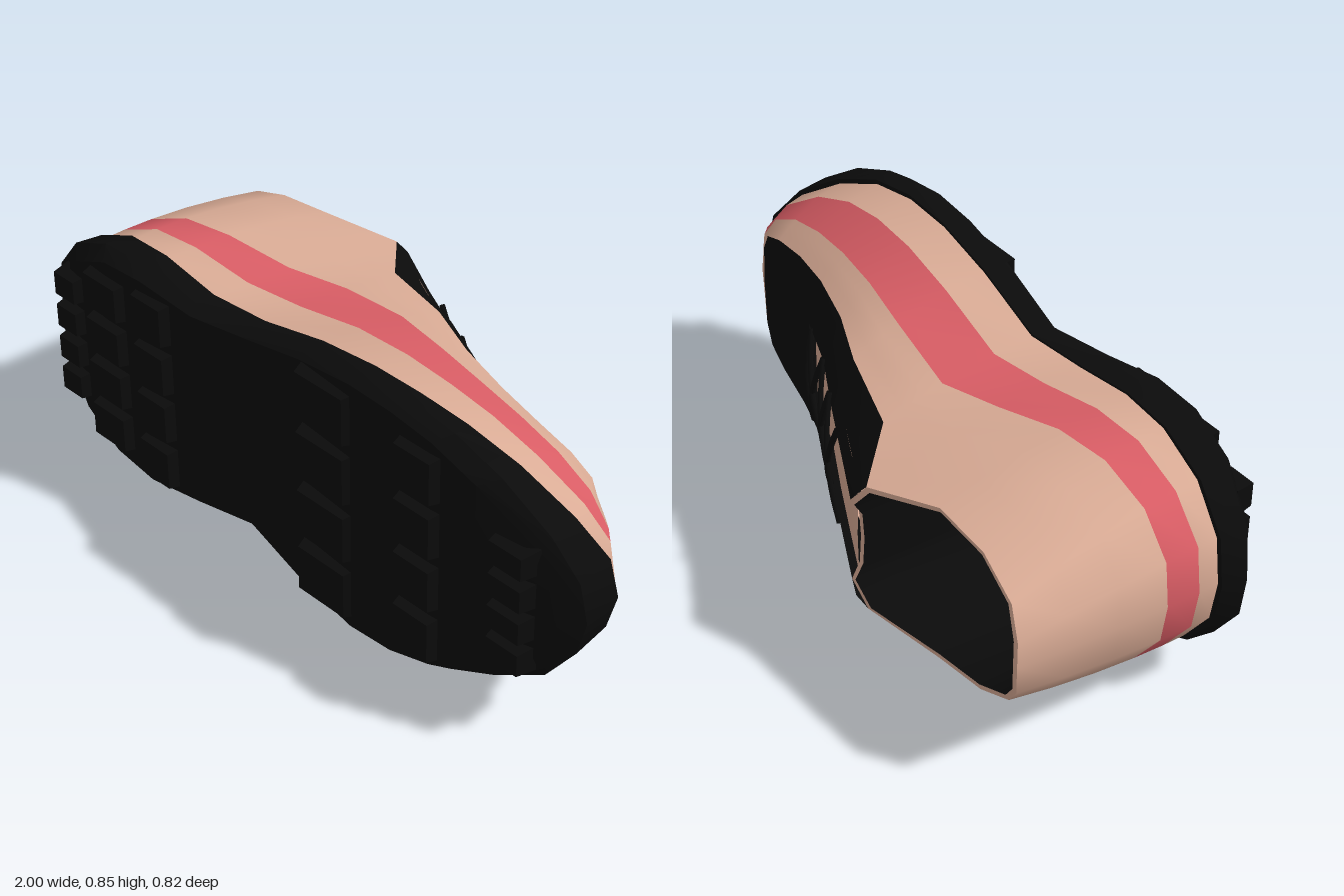
import * as THREE from 'three';
import { toCreasedNormals } from 'three/addons/utils/BufferGeometryUtils.js';

const MID = 0.425; // middle of the shoe's width; the shoe lies on its side, sole towards +z

// Sole stations, heel to toe: x, upper-side y, lower-side y, sole bottom z, sole top z
const SOLE = [
  [-1, 0.43, 0.43, 0.345, 0.23], [-0.98, 0.57, 0.3, 0.35, 0.23], [-0.88, 0.69, 0.16, 0.365, 0.24],
  [-0.73, 0.76, 0.08, 0.375, 0.248], [-0.57, 0.77, 0.055, 0.375, 0.255], [-0.37, 0.74, 0.075, 0.36, 0.26],
  [-0.18, 0.74, 0.08, 0.325, 0.245], [0.07, 0.81, 0.025, 0.35, 0.265], [0.28, 0.845, 0, 0.365, 0.28],
  [0.45, 0.85, 0.025, 0.375, 0.285], [0.6, 0.83, 0.07, 0.375, 0.275], [0.75, 0.77, 0.14, 0.365, 0.245],
  [0.9, 0.67, 0.23, 0.35, 0.205], [0.98, 0.56, 0.34, 0.33, 0.16], [1, 0.44, 0.44, 0.32, 0.145],
];
// Top edge of the upper (collar, then panel edge): x, upper-side y, lower-side y, z
const EDGE = [
  [-0.93, 0.43, 0.43, -0.37], [-0.93, 0.51, 0.35, -0.37], [-0.87, 0.58, 0.27, -0.345],
  [-0.73, 0.635, 0.19, -0.325], [-0.55, 0.655, 0.165, -0.325], [-0.34, 0.62, 0.22, -0.4],
  [-0.185, 0.66, 0.19, -0.24], [0.06, 0.685, 0.165, -0.165], [0.24, 0.69, 0.155, -0.085],
  [0.42, 0.69, 0.165, -0.03], [0.57, 0.68, 0.18, 0], [0.7, 0.66, 0.21, 0.015],
  [0.78, 0.63, 0.25, 0.025], [0.815, 0.57, 0.31, 0.032], [0.825, 0.44, 0.44, 0.035],
];
const STRIPE_LOW = [0.17, 0.17, 0.17, 0.167, 0.16, 0.145, 0.12, 0.14, 0.16, 0.173, 0.175, 0.165, 0.14, 0.11, 0.105];
const STRIPE_HIGH = [0.07, 0.07, 0.07, 0.06, 0.04, 0, -0.05, -0.02, 0.02, 0.05, 0.068, 0.078, 0.08, 0.08, 0.078];
// Ridge of the instep: x, z
const RIDGE = [[-0.29, -0.415], [-0.16, -0.35], [0.05, -0.245], [0.24, -0.145], [0.4, -0.085]];

// Walk round the shoe: [station, column of y], heel, upper side, toe, lower side
const LOOP = [];
for (let i = 0; i <= 14; i++) LOOP.push([i, 1]);
for (let i = 13; i >= 1; i--) LOOP.push([i, 2]);

const material = (color) => new THREE.MeshStandardMaterial({ color, side: THREE.DoubleSide });
const tan = material(0xd9ab95), pink = material(0xd95d65), black = material(0x0b0b0b);
const mix = THREE.MathUtils.lerp;

function sample(table, x, col) {
  for (let i = 1; i < table.length; i++) {
    const a = table[i - 1], b = table[i];
    if (x <= b[0]) return mix(a[col], b[col], Math.max(0, (x - a[0]) / (b[0] - a[0])));
  }
  return table[table.length - 1][col];
}

// Surface through rows of points; keep(j) chooses columns
function skin(rows, closed = true, keep = () => true) {
  const n = rows[0].length, index = [];
  for (let r = 0; r + 1 < rows.length; r++) {
    for (let j = 0; j < (closed ? n : n - 1); j++) {
      if (!keep(j)) continue;
      const k = (j + 1) % n, a = r * n + j, b = r * n + k, c = b + n, d = a + n;
      index.push(a, b, c, a, c, d);
    }
  }
  const g = new THREE.BufferGeometry();
  g.setAttribute('position', new THREE.Float32BufferAttribute(rows.flat(2), 3));
  g.setIndex(index);
  return toCreasedNormals(g, 0.75);
}

export function createModel() {
  const group = new THREE.Group();
  group.name = 'shoe';
  const add = (name, geometry, mat) => {
    const mesh = new THREE.Mesh(geometry, mat);
    mesh.name = name;
    group.add(mesh);
    return mesh;
  };

  // Sole: bottom face, bevel, side wall and inner lip
  const soleRing = (scale, z) => LOOP.map(([i, c]) => {
    const s = SOLE[i];
    return [s[0] * scale, MID + (s[c] - MID) * scale, z(s)];
  });
  const bottom = soleRing(0.94, (s) => s[3]);
  add('sole', skin([
    bottom.map((p) => [p[0], MID, p[2]]), bottom,
    soleRing(1, (s) => s[3] - 0.045), soleRing(0.985, (s) => s[4]), soleRing(0.95, (s) => s[4]),
  ]), black);

  // Tread lugs in rows across heel and forefoot, cut to the sole outline
  for (const [x0, x1] of [[-0.9, -0.8], [-0.76, -0.6], [-0.56, -0.42], [0.07, 0.28], [0.45, 0.6], [0.76, 0.89]]) {
    const x = (x0 + x1) / 2, xe = Math.abs(x0) > Math.abs(x1) ? x0 : x1;
    const hi = MID + (sample(SOLE, xe, 1) - MID) * 0.9, lo = MID + (sample(SOLE, xe, 2) - MID) * 0.9;
    for (let k = 0; k < 4; k++) {
      const a = mix(lo, hi, k / 4) + 0.012, b = mix(lo, hi, (k + 1) / 4) - 0.012;
      const g = new THREE.BoxGeometry(x1 - x0, b - a, 0.06), p = g.attributes.position;
      for (let v = 0; v < p.count; v++) {
        if (p.getZ(v) > 0) p.setXY(v, p.getX(v) * 0.82, p.getY(v) * 0.86);
      }
      g.computeVertexNormals();
      add('treadLug', g, black).position.set(x, (a + b) / 2, sample(SOLE, x, 3));
    }
  }

  // Upper wall, rounded inwards towards its top edge
  const wallRow = (height) => LOOP.map(([i, c]) => {
    const s = SOLE[i], e = EDGE[i], z0 = s[4] + 0.01, z = height(i);
    const t = Math.min(1, Math.max(0, (z0 - z) / (z0 - e[3]))) ** 1.8;
    return [mix(s[0] * 0.97, e[0], t), mix(MID + (s[c] - MID) * 0.965, e[c], t), z];
  });
  const base = wallRow((i) => SOLE[i][4] + 0.01);
  const low = wallRow((i) => STRIPE_LOW[i]), high = wallRow((i) => STRIPE_HIGH[i]);
  const between = (t) => wallRow((i) => mix(STRIPE_HIGH[i], EDGE[i][3], t));
  const top = between(1);
  const atToe = (j) => j === 13 || j === 14;
  add('lowerUpper', skin([base, low]), tan);
  add('stripe', skin([low, high], true, (j) => !atToe(j)), pink);
  add('toeGap', skin([low, high], true, atToe), tan);
  add('sideUpper', skin([high, between(0.33), between(0.67), top]), tan);

  // Black panel: runs round the toe and up both sides of the lacing
  const outer = top.slice(5, 24);
  const inner = outer.map((p, k) => {
    const m = Math.min(k, 18 - k), r = RIDGE[Math.min(m, 4)];
    const y = k <= 4 ? mix(0.555, 0.58, k / 4) : k >= 14 ? mix(0.295, 0.28, (18 - k) / 4) : mix(0.58, 0.28, (k - 4) / 10);
    return [r[0], y, r[1]];
  });
  const middle = outer.map((p, k) => {
    const q = inner[k];
    return [(p[0] + q[0]) / 2, (p[1] + q[1]) / 2, (p[2] + q[2]) / 2 - 0.012];
  });
  const tucked = inner.map((p) => [p[0], p[1], p[2] + 0.035]);
  add('lacePanel', skin([outer, middle, inner, tucked], false), black);

  // Tongue under the laces
  add('tongue', skin([0.59, 0.51, 0.43, 0.35, 0.27].map((y) =>
    RIDGE.map(([x, z]) => [x, y, z + 0.026 - 0.006 * Math.cos((y - 0.43) * 9)])), false), tan);

  // Collar rim and dark lining
  const collar = [...top.slice(23), ...top.slice(0, 6), inner[0], [-0.29, 0.51, -0.39],
    [-0.29, 0.425, -0.385], [-0.29, 0.34, -0.39], inner[18]];
  const inset = (scale, z) => collar.map((p) =>
    [-0.61 + (p[0] + 0.61) * scale, MID + (p[1] - MID) * scale, z ?? p[2]]);
  add('collarRim', skin([collar, inset(0.95)]), tan);
  add('lining', skin([inset(0.95), inset(0.93, -0.1), inset(0.92, 0.15), inset(0, 0.17)]), black);

  // Laces: one straight bar, then crossed pairs arched over the tongue
  const eyelets = [0.37, 0.23, 0.09, -0.06];
  const lace = (xa, xb) => {
    const points = [0, 0.25, 0.5, 0.75, 1].map((t) => {
      const x = mix(xa, xb, t);
      return new THREE.Vector3(x, mix(0.585, 0.275, t), sample(RIDGE, x, 1) - 0.022 * Math.sin(Math.PI * t));
    });
    add('lace', new THREE.TubeGeometry(new THREE.CatmullRomCurve3(points), 16, 0.0085, 6), black);
  };
  lace(eyelets[0], eyelets[0]);
  for (let i = 0; i < 3; i++) {
    lace(eyelets[i], eyelets[i + 1]);
    lace(eyelets[i + 1], eyelets[i]);
  }
  return group;
}
